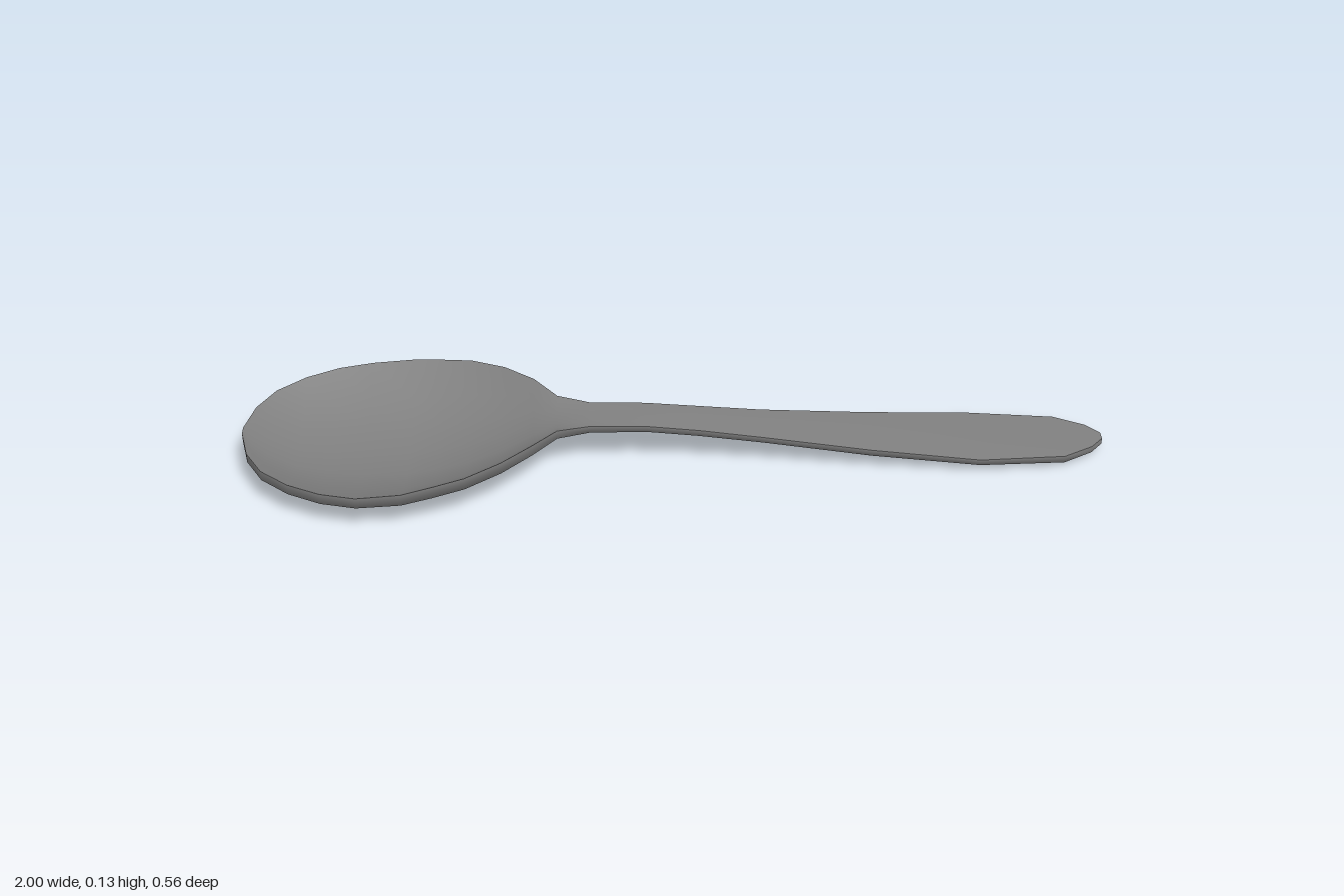
import * as THREE from 'three';

// Stations along the spoon: x, half width, rim top, rim bottom, centre top, centre bottom
const STATIONS = [
  [-1.0, 0.012, 0.097, 0.075, 0.097, 0.075],
  [-0.98, 0.095, 0.097, 0.074, 0.086, 0.066],
  [-0.94, 0.165, 0.097, 0.073, 0.066, 0.046],
  [-0.875, 0.22, 0.097, 0.072, 0.041, 0.019],
  [-0.8, 0.258, 0.097, 0.071, 0.030, 0.009],
  [-0.72, 0.278, 0.097, 0.071, 0.025, 0.004],
  [-0.62, 0.278, 0.104, 0.076, 0.024, 0.003],
  [-0.55, 0.262, 0.112, 0.083, 0.031, 0.009],
  [-0.48, 0.243, 0.120, 0.091, 0.045, 0.022],
  [-0.4, 0.198, 0.128, 0.100, 0.067, 0.044],
  [-0.33, 0.138, 0.132, 0.106, 0.095, 0.072],
  [-0.275, 0.073, 0.126, 0.105, 0.114, 0.093],
  [-0.2, 0.05, 0.121, 0.104, 0.120, 0.101],
  [-0.07, 0.049, 0.117, 0.102, 0.118, 0.099],
  [0.05, 0.051, 0.104, 0.089, 0.105, 0.086],
  [0.2, 0.058, 0.085, 0.071, 0.086, 0.067],
  [0.45, 0.079, 0.057, 0.042, 0.058, 0.037],
  [0.7, 0.098, 0.036, 0.022, 0.037, 0.014],
  [0.9, 0.082, 0.030, 0.013, 0.031, 0.000],
  [0.97, 0.045, 0.030, 0.014, 0.030, 0.007],
  [1.0, 0.012, 0.030, 0.015, 0.030, 0.014],
];
const COLUMNS = 6;

// Smooth surface through rows of points
function gridSurface(name, rows, material) {
  const cols = rows[0].length;
  const index = [];
  for (let i = 0; i < rows.length - 1; i++) {
    for (let j = 0; j < cols - 1; j++) {
      const a = i * cols + j, b = a + 1, d = a + cols, c = d + 1;
      index.push(a, b, c, a, c, d);
    }
  }
  const geometry = new THREE.BufferGeometry();
  geometry.setAttribute('position', new THREE.Float32BufferAttribute(rows.flat(2), 3));
  geometry.setIndex(index);
  geometry.computeVertexNormals();
  const mesh = new THREE.Mesh(geometry, material);
  mesh.name = name;
  return mesh;
}

// Cross-section of one face: the rim height blends into the centre height
function section([x, w], rim, centre) {
  return Array.from({ length: COLUMNS + 1 }, (_, j) => {
    const s = (2 * j) / COLUMNS - 1;
    return [x, centre + (rim - centre) * Math.abs(s) ** 2.4, w * s];
  });
}

export function createModel() {
  const group = new THREE.Group();
  group.name = 'spoon';
  const metal = new THREE.MeshStandardMaterial({ color: 0x808080 });

  const top = STATIONS.map((st) => section(st, st[2], st[4]));
  const bottom = STATIONS.map((st) => section(st, st[3], st[5]));

  // The underside wraps up over the rim on both sides and at both tips
  const wrap = (row, i) => [top[i][0], ...row, top[i][COLUMNS]].reverse();
  const last = top.length - 1;
  const shell = [wrap(top[0], 0), ...bottom.map(wrap), wrap(top[last], last)];

  group.add(
    gridSurface('upperFace', top, metal),
    gridSurface('undersideAndRim', shell, metal),
  );
  return group;
}
